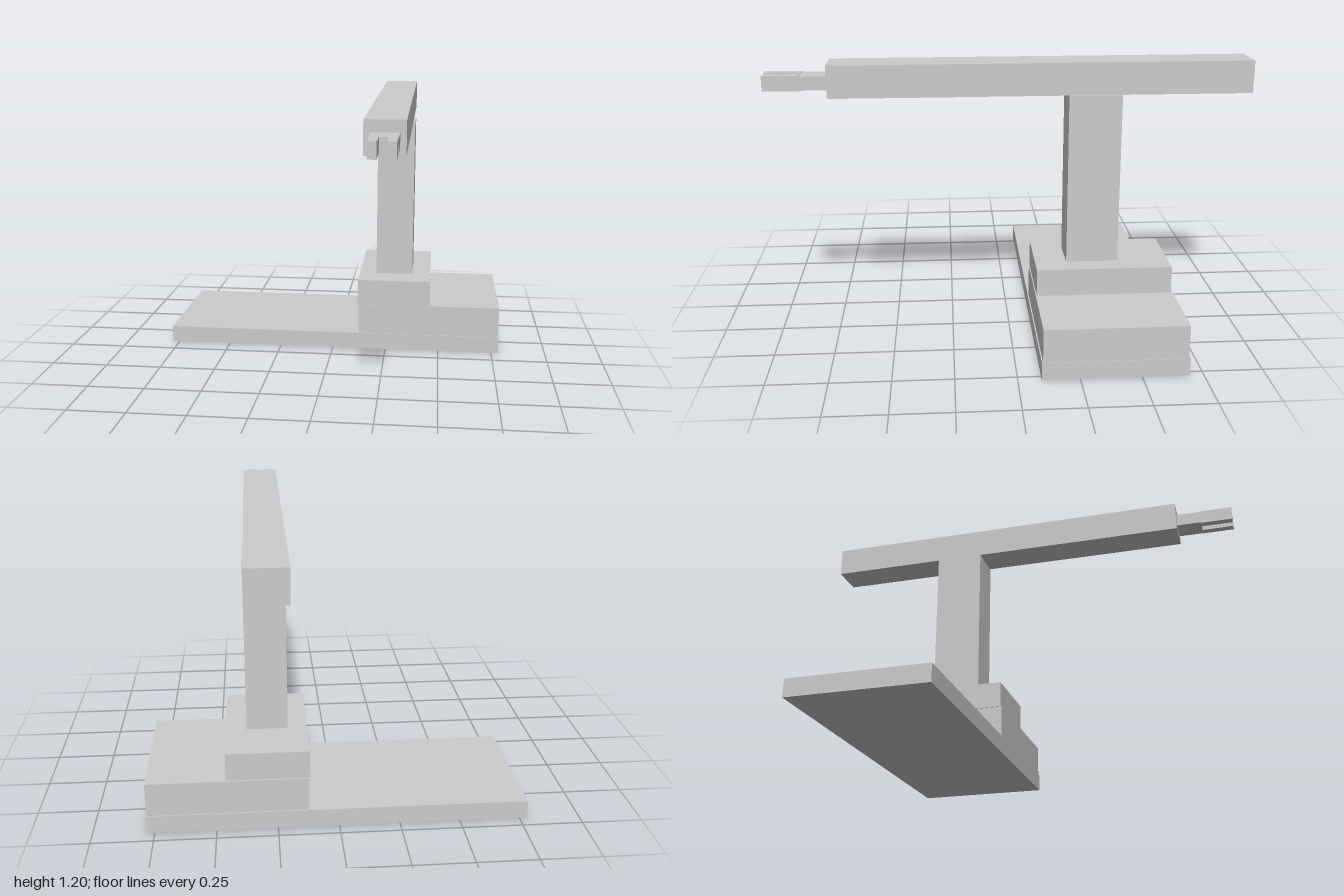
import * as THREE from 'three';

export function createModel() {
  const group = new THREE.Group();
  const material = new THREE.MeshStandardMaterial({ color: 0xcccccc, flatShading: true });

  // Adds a box given its [min, max] range on each axis
  function box(name, [x0, x1], [y0, y1], [z0, z1]) {
    const mesh = new THREE.Mesh(new THREE.BoxGeometry(x1 - x0, y1 - y0, z1 - z0), material);
    mesh.position.set((x0 + x1) / 2, (y0 + y1) / 2, (z0 + z1) / 2);
    mesh.name = name;
    group.add(mesh);
  }

  // Base plate, raised block and sliding carriage
  box('basePlate', [-0.782, 0.782], [0, 0.076], [-0.692, -0.095]);
  box('baseBlock', [0.122, 0.78], [0.076, 0.218], [-0.686, -0.1]);
  box('carriage', [0.118, 0.457], [0.218, 0.335], [-0.678, -0.104]);

  // Upright column carrying the long horizontal arm
  box('column', [0.198, 0.37], [0.335, 1.06], [-0.458, -0.238]);
  box('arm', [0.2, 0.36], [1.06, 1.195], [-1, 0.74]);

  // Gripper: palm and two fingers
  box('gripperPalm', [0.228, 0.336], [1.09, 1.147], [0.74, 0.855]);
  for (const [name, x] of [['rightFinger', 0.231], ['leftFinger', 0.301]]) {
    box(name, [x, x + 0.034], [1.088, 1.151], [0.852, 1]);
  }

  return group;
}
